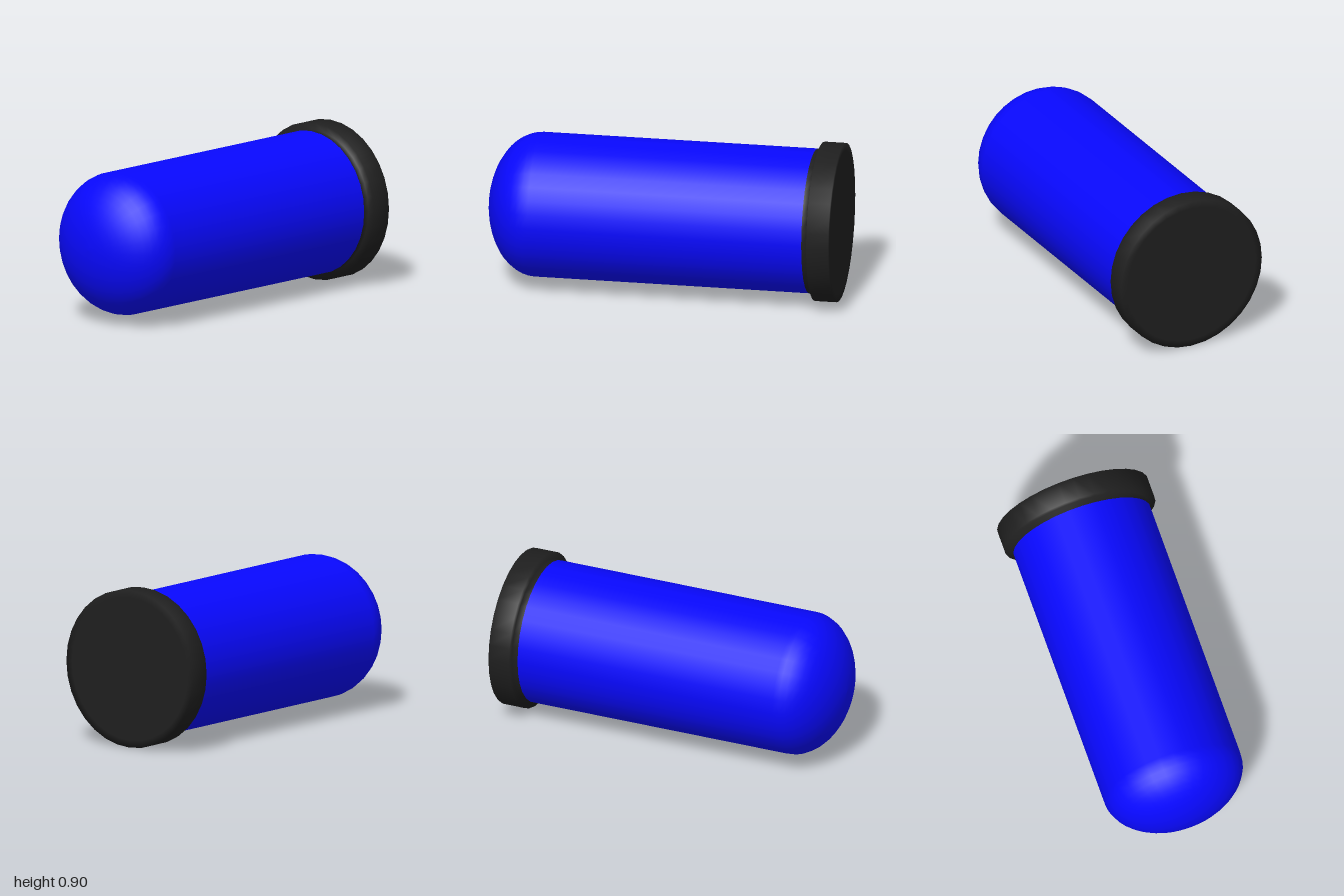
import * as THREE from 'three';

const SIDES = 32;
const AXIS_Y = 0.448; // height of the tube's axis
const TUBE_R = 0.407;
const CAP_R = 0.448;

// Revolve [radius, z] pairs (back to front) around the z axis
function turned(name, profile, color) {
  const geometry = new THREE.LatheGeometry(profile.map(([r, z]) => new THREE.Vector2(r, z)), SIDES);
  geometry.rotateX(Math.PI / 2);
  const mesh = new THREE.Mesh(geometry, new THREE.MeshStandardMaterial({ color, side: THREE.DoubleSide }));
  mesh.name = name;
  mesh.position.y = AXIS_Y;
  return mesh;
}

export function createModel() {
  const group = new THREE.Group();
  group.name = 'cappedTube';

  // Straight tube ending in a flattened dome at the front
  const domeStart = 0.72, domeDepth = 0.28, steps = 12;
  const body = [[TUBE_R, -0.84]];
  for (let i = 0; i <= steps; i++) {
    const a = (i / steps) * Math.PI / 2;
    body.push([i === steps ? 0 : TUBE_R * Math.cos(a), domeStart + domeDepth * Math.sin(a)]);
  }
  group.add(turned('tube', body, 0x0808ff));

  // Wide disc cap at the back, with a narrow collar meeting the tube
  group.add(turned('cap', [
    [0, -1], [TUBE_R, -1], [CAP_R, -1],
    [CAP_R, -0.875], [TUBE_R, -0.875], [TUBE_R, -0.84],
  ], 0x1f1f1f));

  return group;
}
